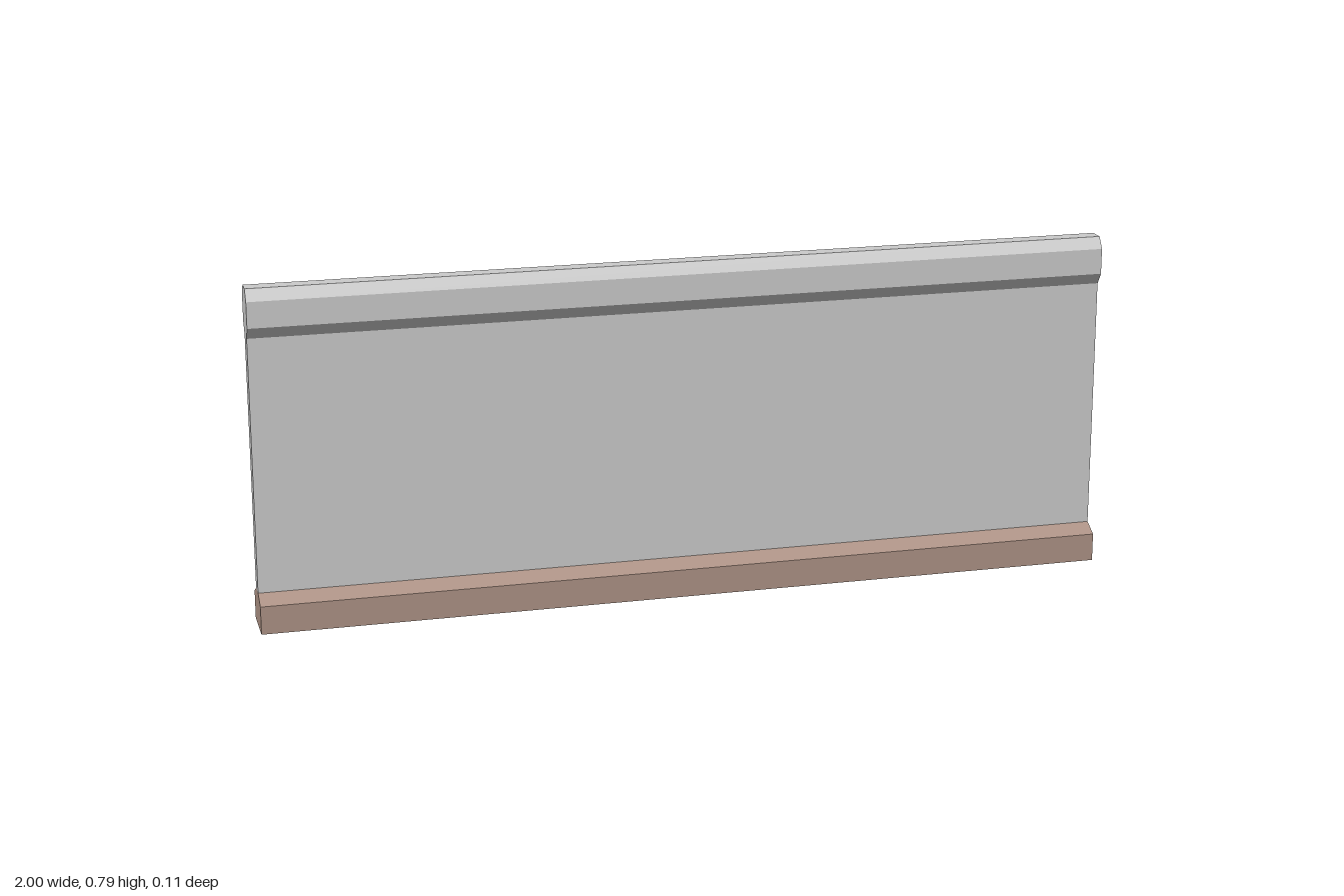
import * as THREE from 'three';

const LENGTH = 2;

function material(name, color) {
  const m = new THREE.MeshStandardMaterial({ color });
  m.name = name;
  return m;
}

// Extrudes a symmetric profile of [halfDepth, height] points along x.
function rail(name, half, mat) {
  const mirrored = half.map(([d, y]) => [-d, y]).reverse();
  const points = [...half, ...mirrored].map(([d, y]) => new THREE.Vector2(d, y));
  const geometry = new THREE.ExtrudeGeometry(new THREE.Shape(points), {
    depth: LENGTH, bevelEnabled: false,
  });
  geometry.translate(0, 0, -LENGTH / 2);
  geometry.rotateY(Math.PI / 2);
  const mesh = new THREE.Mesh(geometry, mat);
  mesh.name = name;
  return mesh;
}

export function createModel() {
  const grey = material('light grey', 0xcccccc);
  const pink = material('dusty pink', 0xcca2a2);
  const tan = material('tan', 0xae9386);

  const group = new THREE.Group();
  group.name = 'barrierWall';

  // Footing with sloped shoulders
  group.add(rail('base', [[0.056, 0.001], [0.056, 0.067], [0.019, 0.087]], tan));

  // Grey underside of the footing
  const underside = new THREE.Mesh(new THREE.PlaneGeometry(LENGTH, 0.112), grey);
  underside.name = 'baseUnderside';
  underside.rotation.x = Math.PI / 2;
  group.add(underside);

  // Upright panel, pink on its back face
  const bottom = 0.087, top = 0.68;
  const panel = new THREE.Mesh(
    new THREE.BoxGeometry(LENGTH, top - bottom, 0.038),
    [grey, grey, grey, grey, grey, pink],
  );
  panel.name = 'panel';
  panel.position.y = (bottom + top) / 2;
  group.add(panel);

  // Chamfered top rail
  group.add(rail('topRail', [[0.019, 0.68], [0.037, 0.707], [0.037, 0.767], [0.019, 0.793]], grey));

  return group;
}
